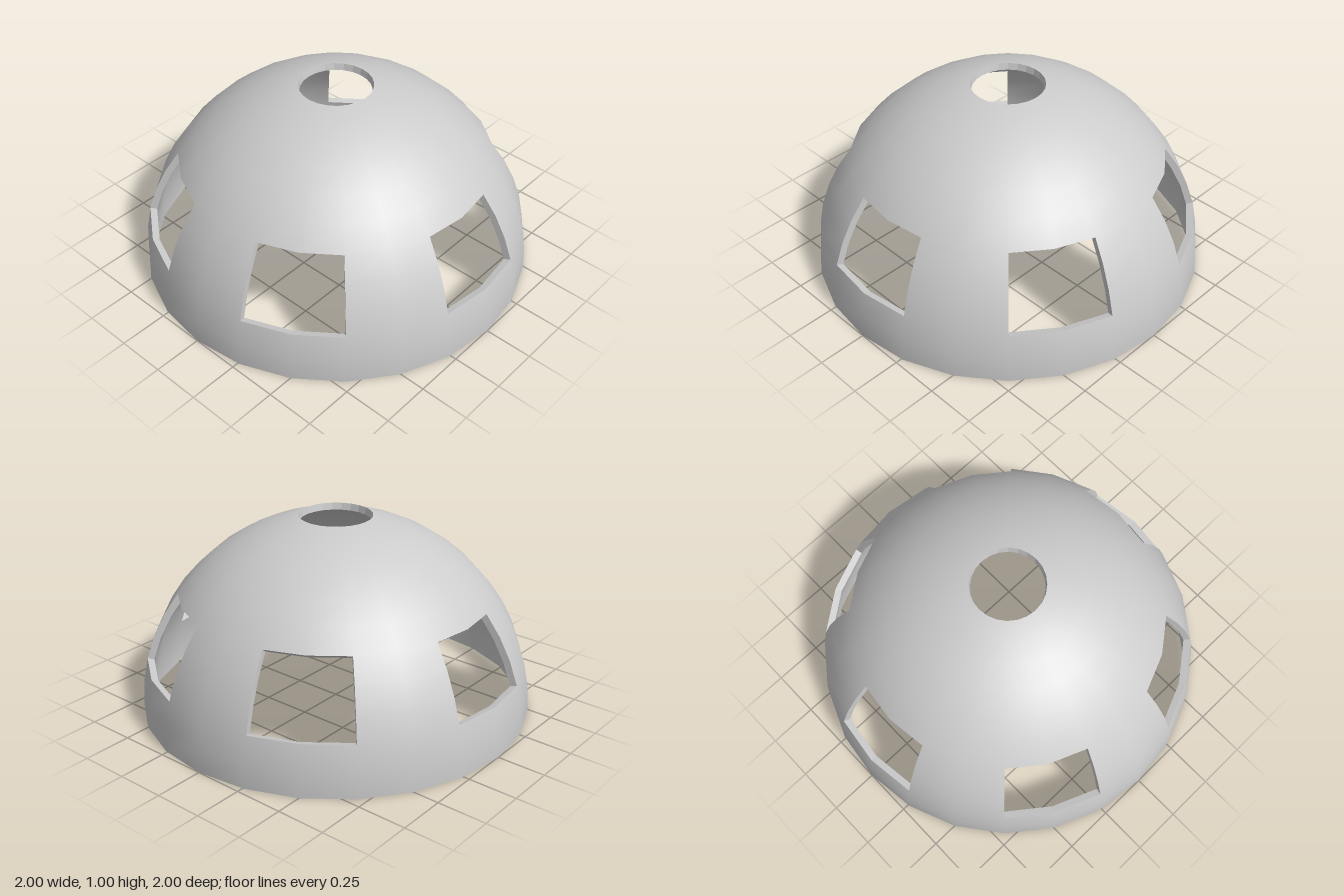
import * as THREE from 'three';

const SEGMENTS = 24;
const INNER_SCALE = 0.965;
const rad = THREE.MathUtils.degToRad;

// Dome profile [radius, height]: rings every 7.5 degrees, then the raised lip of the top hole
const profile = [];
for (let a = 0; a <= 75; a += 7.5) profile.push([Math.cos(rad(a)), Math.sin(rad(a))]);
profile.push([0.185, 1]);
const ROWS = profile.length - 1;

// Six windows, each two segments wide and three rows high
function isSolid(seg, row) {
  if (row < 0 || row >= ROWS) return false;
  const s = (seg + SEGMENTS) % 4;
  return !(row >= 2 && row <= 4 && (s === 0 || s === 3));
}

function point(seg, row, scale) {
  const [r, y] = profile[row];
  const t = (seg / SEGMENTS) * Math.PI * 2;
  return new THREE.Vector3(r * Math.cos(t), y, -r * Math.sin(t)).multiplyScalar(scale);
}

// Mesh from quads; normalSign gives smooth radial normals, 0 gives flat faces
function quadMesh(name, quads, normalSign) {
  const pts = quads.flatMap(([a, b, c, d]) => [a, b, c, a, c, d]);
  const geometry = new THREE.BufferGeometry().setFromPoints(pts);
  if (normalSign) {
    const normals = pts.flatMap((p) => p.clone().normalize().multiplyScalar(normalSign).toArray());
    geometry.setAttribute('normal', new THREE.Float32BufferAttribute(normals, 3));
  } else {
    geometry.computeVertexNormals();
  }
  const mesh = new THREE.Mesh(geometry, new THREE.MeshStandardMaterial({ color: 0xcccccc }));
  mesh.name = name;
  return mesh;
}

export function createModel() {
  const outer = [], inner = [], windowEdges = [], baseRim = [], topRim = [];

  for (let s = 0; s < SEGMENTS; s++) {
    for (let r = 0; r < ROWS; r++) {
      if (!isSolid(s, r)) continue;
      const corners = [[s, r], [s + 1, r], [s + 1, r + 1], [s, r + 1]];
      const out = corners.map(([i, j]) => point(i, j, 1));
      const inn = corners.map(([i, j]) => point(i, j, INNER_SCALE));
      outer.push(out);
      inner.push([...inn].reverse());

      // Close the shell thickness wherever the neighbouring cell is open
      const neighbours = [[s, r - 1], [s + 1, r], [s, r + 1], [s - 1, r]];
      neighbours.forEach(([ns, nr], k) => {
        if (isSolid(ns, nr)) return;
        const n = (k + 1) % 4;
        const target = nr < 0 ? baseRim : nr >= ROWS ? topRim : windowEdges;
        target.push([out[n], out[k], inn[k], inn[n]]);
      });
    }
  }

  const group = new THREE.Group();
  group.name = 'dome';
  group.add(
    quadMesh('outerShell', outer, 1),
    quadMesh('innerShell', inner, -1),
    quadMesh('windowEdges', windowEdges, 0),
    quadMesh('baseRim', baseRim, 0),
    quadMesh('topHoleRim', topRim, 0)
  );
  return group;
}
